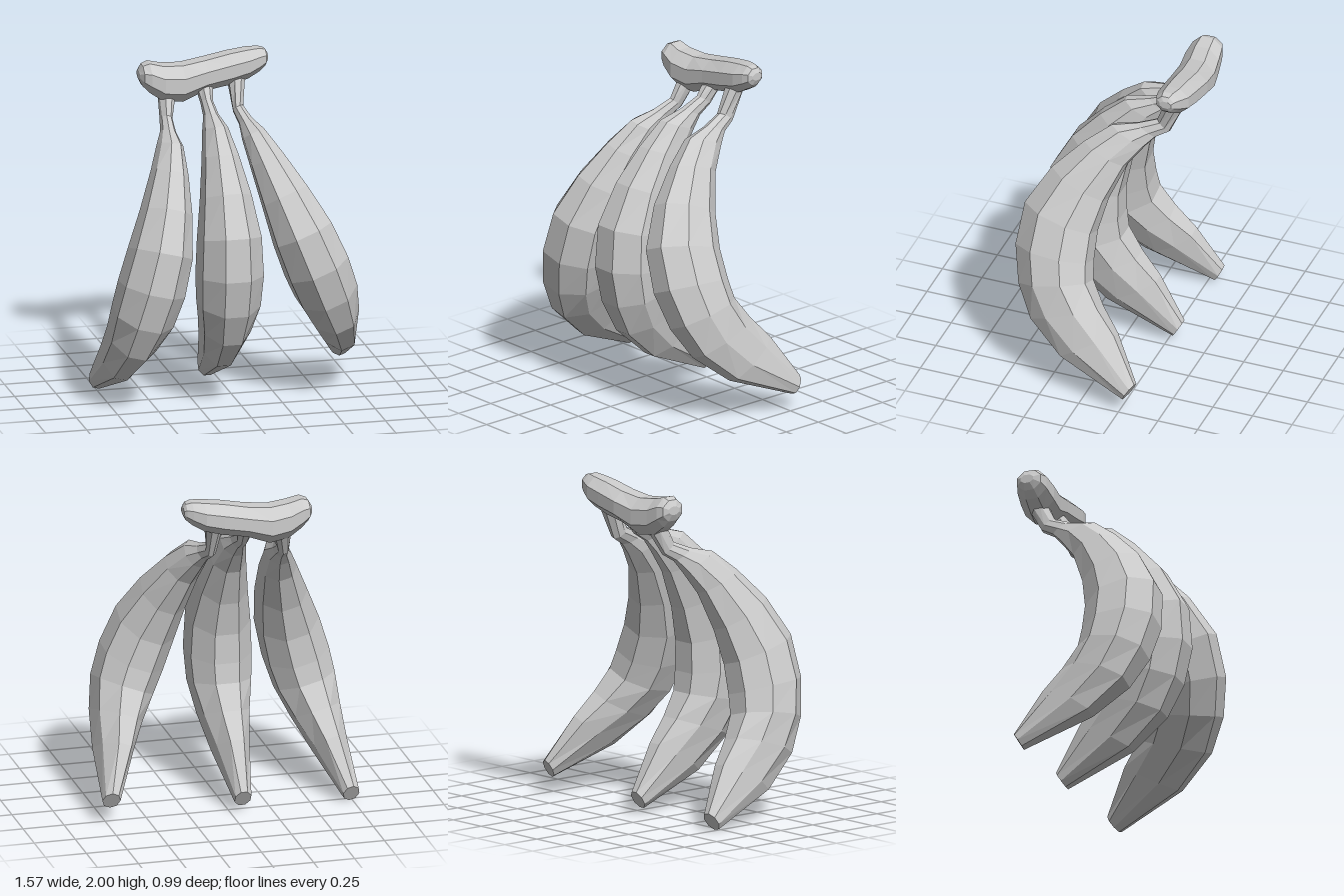
import * as THREE from 'three';

const SIDES = 8;
const GROW = 1 / Math.cos(Math.PI / SIDES); // flats, not corners, touch the profile
const material = new THREE.MeshStandardMaterial({ color: 0xcccccc, flatShading: true });

// One octagonal cross-section: centre plus two half-axis vectors
function ring(center, u, v) {
  return Array.from({ length: SIDES }, (_, j) => {
    const a = ((j + 0.5) / SIDES) * Math.PI * 2;
    return center.clone()
      .addScaledVector(u, Math.cos(a) * GROW)
      .addScaledVector(v, Math.sin(a) * GROW);
  });
}

// Skin a list of rings and close both ends
function loft(name, rings) {
  const points = rings.flat();
  const index = [];
  const last = rings.length - 1;
  for (let k = 0; k < last; k++) {
    for (let j = 0; j < SIDES; j++) {
      const a = k * SIDES + j, b = k * SIDES + (j + 1) % SIDES;
      index.push(a, a + SIDES, b, b, a + SIDES, b + SIDES);
    }
  }
  for (let j = 1; j < SIDES - 1; j++) {
    const e = last * SIDES;
    index.push(0, j, j + 1, e, e + j + 1, e + j);
  }
  const geometry = new THREE.BufferGeometry().setFromPoints(points);
  geometry.setIndex(index);
  geometry.computeVertexNormals();
  const mesh = new THREE.Mesh(geometry, material);
  mesh.name = name;
  return mesh;
}

// Banana sections from stem to tip: outer z, outer y, inner z, inner y, half width
// (y is measured down from the hanging point)
const SECTIONS = [
  [-0.31, 0.02, -0.41, -0.02, 0.05],
  [-0.25, -0.04, -0.33, -0.10, 0.033],
  [-0.13, -0.09, -0.25, -0.15, 0.04],
  [0.02, -0.13, -0.19, -0.22, 0.068],
  [0.17, -0.26, -0.09, -0.36, 0.10],
  [0.34, -0.45, 0.0, -0.59, 0.14],
  [0.47, -0.69, 0.045, -0.80, 0.175],
  [0.49, -0.95, 0.045, -0.98, 0.185],
  [0.44, -1.18, 0.03, -1.10, 0.175],
  [0.34, -1.38, -0.06, -1.24, 0.14],
  [0.13, -1.57, -0.18, -1.38, 0.10],
  [-0.28, -1.75, -0.34, -1.65, 0.048],
];

function banana(name, x, y, angle, stemX, stemY) {
  const zAxis = new THREE.Vector3(0, 0, 1);
  const rings = SECTIONS.map(([fz, fy, bz, by, w], i) => {
    const center = new THREE.Vector3(0, (fy + by) / 2, (fz + bz) / 2);
    const u = new THREE.Vector3(0, (fy - by) / 2, (fz - bz) / 2);
    const v = new THREE.Vector3(w, 0, 0);
    if (i === 0) { // the stem root sits inside the crown
      center.x = stemX;
      center.y = stemY;
    } else {
      [center, u, v].forEach((p) => p.applyAxisAngle(zAxis, angle));
      center.x += x;
      center.y += y;
    }
    return ring(center, u, v);
  });
  return loft(name, rings);
}

// Crown sections along x: x, bottom y, top y, back z, front z
const CROWN = [
  [-0.47, 1.86, 1.91, -0.41, -0.33],
  [-0.45, 1.82, 1.945, -0.44, -0.29],
  [-0.41, 1.78, 1.96, -0.455, -0.27],
  [-0.33, 1.725, 1.94, -0.465, -0.255],
  [-0.21, 1.71, 1.93, -0.485, -0.265],
  [-0.07, 1.765, 1.95, -0.495, -0.275],
  [0.08, 1.79, 1.98, -0.485, -0.28],
  [0.19, 1.82, 1.995, -0.475, -0.285],
  [0.26, 1.86, 2.0, -0.445, -0.3],
  [0.295, 1.89, 1.99, -0.425, -0.315],
  [0.31, 1.92, 1.965, -0.41, -0.34],
];

function crown() {
  return loft('crown', CROWN.map(([x, y0, y1, z0, z1]) => ring(
    new THREE.Vector3(x, (y0 + y1) / 2, (z0 + z1) / 2),
    new THREE.Vector3(0, 0, (z1 - z0) / 2),
    new THREE.Vector3(0, (y1 - y0) / 2, 0),
  )));
}

export function createModel() {
  const group = new THREE.Group();
  group.name = 'bananaBunch';
  group.add(
    crown(),
    banana('rightBanana', -0.304, 1.694, -0.257, -0.3, 1.76),
    banana('middleBanana', -0.075, 1.78, 0, -0.075, 1.8),
    banana('leftBanana', 0.09, 1.72, 0.384, 0.12, 1.82),
  );
  return group;
}
